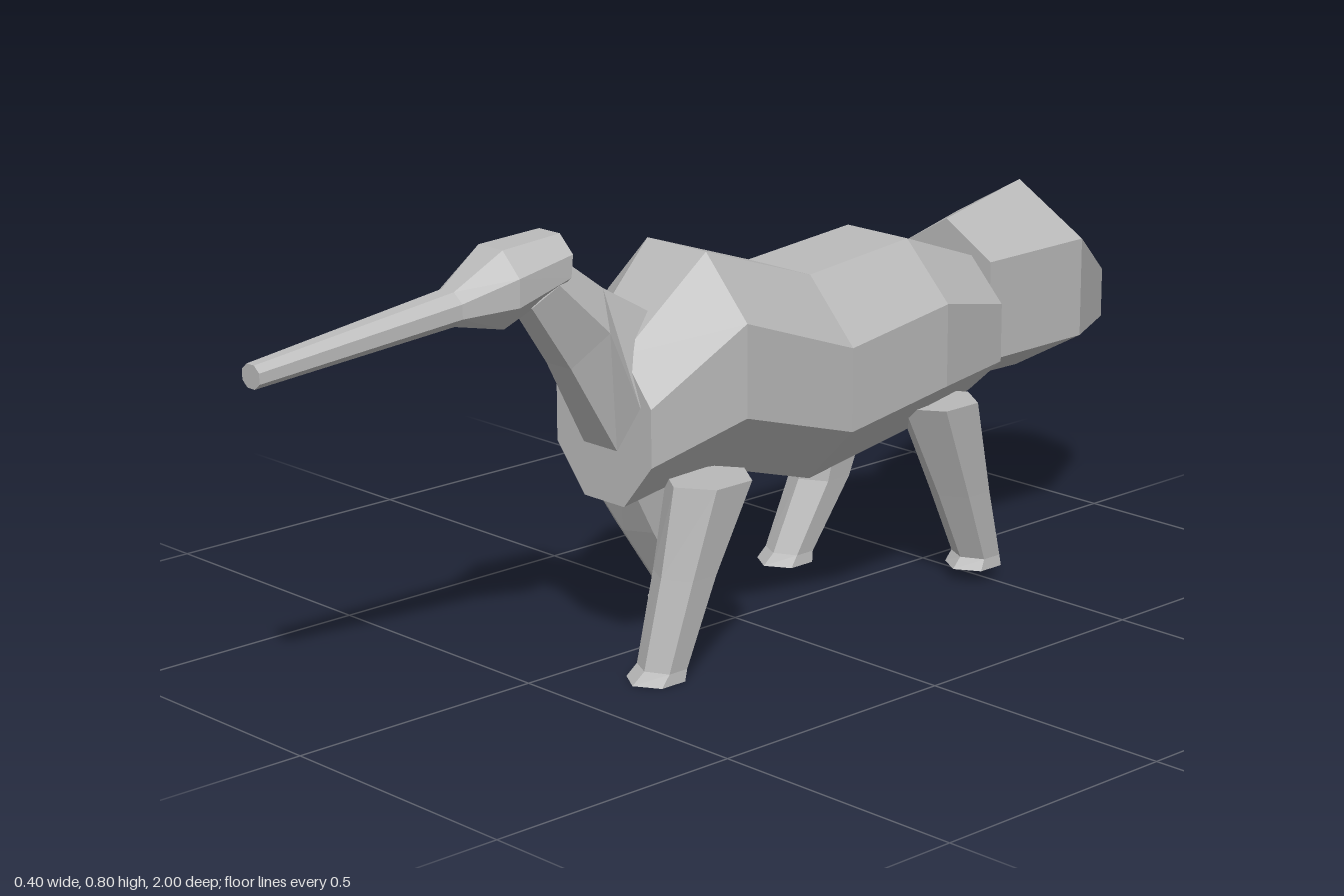
import * as THREE from 'three';

const grey = new THREE.MeshStandardMaterial({ color: 0xb8b8b8, flatShading: true });
grey.name = 'stone grey';

// Skin a list of equal-sized rings and close both ends
function loft(name, rings) {
  const pos = [];
  const n = rings[0].length;
  const tri = (a, b, c) => pos.push(...a, ...b, ...c);
  for (let r = 0; r < rings.length - 1; r++) {
    for (let i = 0; i < n; i++) {
      const j = (i + 1) % n, a = rings[r], b = rings[r + 1];
      tri(a[i], a[j], b[j]);
      tri(a[i], b[j], b[i]);
    }
  }
  const first = rings[0], last = rings[rings.length - 1];
  for (let i = 1; i < n - 1; i++) {
    tri(first[0], first[i + 1], first[i]);
    tri(last[0], last[i], last[i + 1]);
  }
  const g = new THREE.BufferGeometry();
  g.setAttribute('position', new THREE.Float32BufferAttribute(pos, 3));
  g.computeVertexNormals();
  const mesh = new THREE.Mesh(g, grey);
  mesh.name = name;
  return mesh;
}

// Eight-sided ring; z may lean with height
const octRing = ([z, cx, hw, top, up, low, bottom, lean = 0]) => {
  const f = hw * 0.42, cy = (top + bottom) / 2;
  return [[hw, low], [hw, up], [f, top], [-f, top], [-hw, up], [-hw, low], [-f, bottom], [f, bottom]]
    .map(([x, y]) => [cx + x, y, z + lean * (y - cy)]);
};

// Six-sided ring with points at top and bottom
const tailRing = ([z, cx, hw, top, up, low, bottom]) =>
  [[hw, low], [hw, up], [0, top], [-hw, up], [-hw, low], [0, bottom]].map(([x, y]) => [cx + x, y, z]);

// Six-sided ring from bottom, side and top [y, z] pairs
const neckRing = ([cx, hw, f, b, s, t]) =>
  [[hw, s], [f, t], [-f, t], [-hw, s], [-f, b], [f, b]].map(([x, p]) => [cx + x, ...p]);

// Six-sided level ring with points to front and back
const legRing = ([y, cx, cz, hw, hz]) =>
  [[1, 0.5], [1, -0.5], [0, -1], [-1, -0.5], [-1, 0.5], [0, 1]].map(([x, z]) => [cx + x * hw, y, cz + z * hz]);

function leg(name, x, ground, topY, topZ, kneeZ, footZ, toe) {
  return loft(name, [
    [ground, x, footZ + toe, 0.046, 0.055],
    [ground + 0.02, x, footZ, 0.042, 0.042],
    [0.18, x, kneeZ, 0.051, 0.056],
    [topY, x, topZ, 0.064, 0.085],
  ].map(legRing));
}

export function createModel() {
  const model = new THREE.Group();
  model.name = 'longSnoutedAnimal';

  // Trunk with raised shoulders and hips
  model.add(loft('body', [
    [-0.55, 0.01, 0.135, 0.6, 0.52, 0.41, 0.34],
    [-0.35, 0.014, 0.18, 0.67, 0.565, 0.41, 0.305],
    [-0.1, 0.01, 0.188, 0.645, 0.53, 0.375, 0.265],
    [0.155, 0.013, 0.178, 0.73, 0.62, 0.45, 0.34],
    [0.333, 0.016, 0.122, 0.575, 0.49, 0.385, 0.3],
  ].map(octRing)));

  // Bushy tail swung to one side
  model.add(loft('tail', [
    [-1, -0.08, 0.084, 0.525, 0.485, 0.39, 0.345],
    [-0.8, -0.04, 0.162, 0.69, 0.6, 0.41, 0.32],
    [-0.55, 0.002, 0.113, 0.66, 0.595, 0.405, 0.34],
  ].map(tailRing)));

  // Neck rising forward from the chest
  model.add(loft('neck', [
    [0.013, 0.1, 0.043, [0.4, 0.338], [0.488, 0.335], [0.63, 0.25]],
    [0.005, 0.083, 0.032, [0.56, 0.425], [0.625, 0.38], [0.69, 0.35]],
    [0, 0.062, 0.03, [0.68, 0.505], [0.72, 0.47], [0.75, 0.43]],
  ].map(neckRing)));

  // Head and long tapering snout, turned to the right
  model.add(loft('head', [
    [0.445, 0.003, 0.063, 0.8, 0.77, 0.73, 0.7, -0.1],
    [0.555, -0.016, 0.074, 0.787, 0.745, 0.695, 0.65],
    [0.64, -0.028, 0.038, 0.725, 0.708, 0.682, 0.665],
  ].map(octRing)));
  model.add(loft('snout', [
    [0.64, -0.028, 0.038, 0.725, 0.708, 0.682, 0.665],
    [1, -0.098, 0.023, 0.652, 0.641, 0.622, 0.611],
  ].map(octRing)));

  // Legs in mid stride
  model.add(leg('frontLeftLeg', 0.137, 0, 0.34, 0.195, 0.255, 0.31, 0.015));
  model.add(leg('frontRightLeg', -0.115, 0.02, 0.34, 0.195, 0.115, 0.03, 0.012));
  model.add(leg('backLeftLeg', 0.137, 0.025, 0.365, -0.385, -0.45, -0.498, 0.006));
  model.add(leg('backRightLeg', -0.117, 0.028, 0.365, -0.385, -0.335, -0.255, 0.012));

  return model;
}
